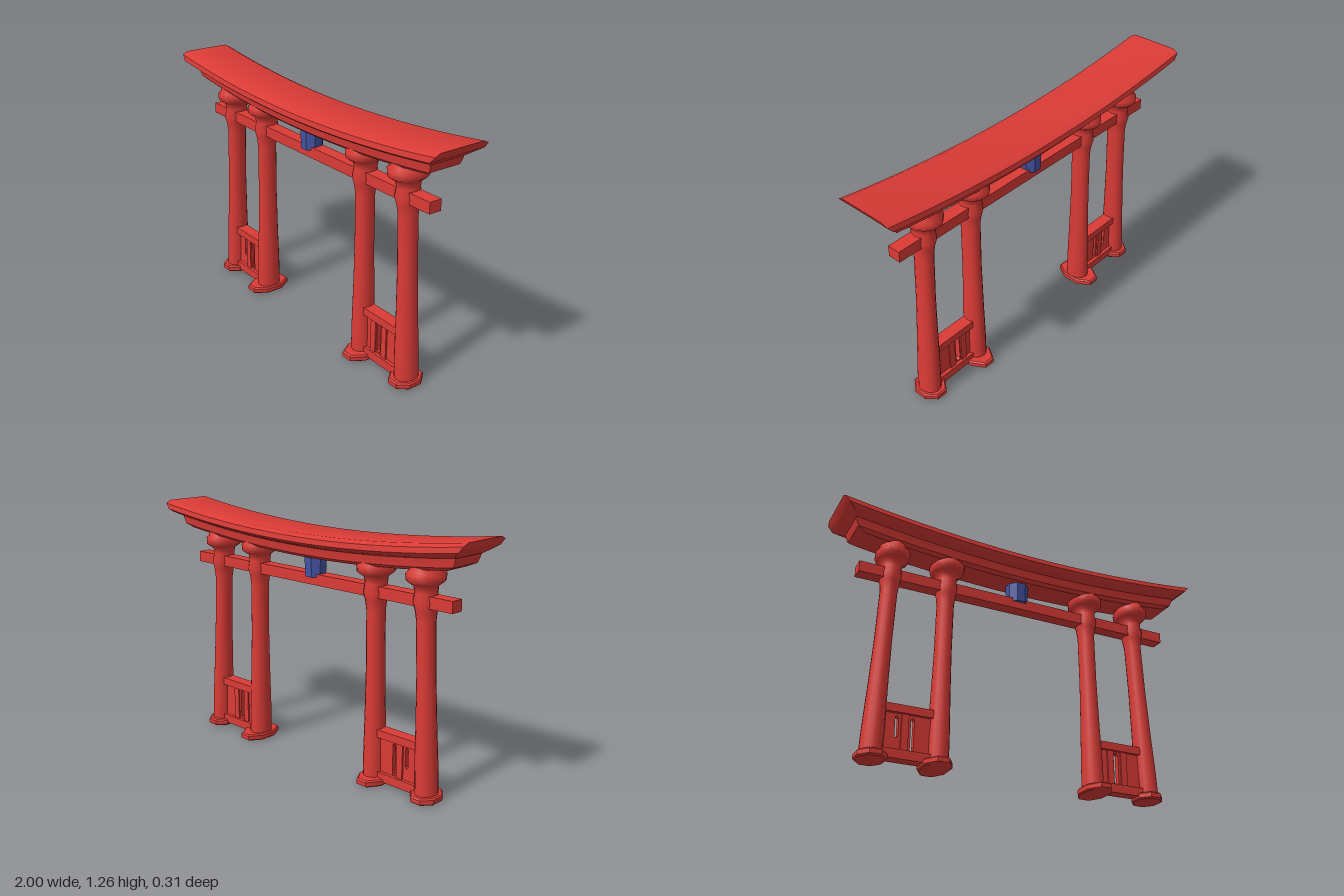
import * as THREE from 'three';
import { toCreasedNormals } from 'three/addons/utils/BufferGeometryUtils.js';

const red = new THREE.MeshStandardMaterial({ color: 0xdb3b36 });
red.name = 'vermilion red';
const blue = new THREE.MeshStandardMaterial({ color: 0x4454a4 });
blue.name = 'plaque blue';

function add(parent, name, geometry, material = red) {
  const mesh = new THREE.Mesh(geometry, material);
  mesh.name = name;
  parent.add(mesh);
  return mesh;
}

// Upward sweep shared by the roof slab and the beam under it
const roofTop = (x) => 1.19 + 0.07 * x * x;

// Half profile rows: [half depth, offset below the roof line, half length]
function sweptBeam(rows, steps = 24) {
  const loop = [...rows, ...[...rows].reverse().map(([z, y, l]) => [-z, y, l])];
  const n = loop.length;
  const pos = [];
  const index = [];
  for (let i = 0; i <= steps; i++) {
    const t = (i / steps) * 2 - 1;
    for (const [z, y, l] of loop) pos.push(t * l, roofTop(t * l) + y, z);
  }
  for (let i = 0; i < steps; i++) {
    for (let j = 0; j < n; j++) {
      const k = (j + 1) % n;
      const a = i * n + j, b = i * n + k, c = b + n, d = a + n;
      index.push(a, b, c, a, c, d);
    }
  }
  // End caps
  const mid = rows[Math.floor(rows.length / 2)];
  for (const s of [-1, 1]) {
    const centre = pos.length / 3;
    const ring = s < 0 ? 0 : steps * n;
    pos.push(s * mid[2], roofTop(mid[2]) + mid[1], 0);
    for (let j = 0; j < n; j++) {
      const k = (j + 1) % n;
      if (s > 0) index.push(centre, ring + j, ring + k);
      else index.push(centre, ring + k, ring + j);
    }
  }
  const g = new THREE.BufferGeometry();
  g.setAttribute('position', new THREE.Float32BufferAttribute(pos, 3));
  g.setIndex(index);
  return toCreasedNormals(g, 0.5);
}

// Turned post with collar and capital, leaning from xBottom to xTop
function postGeometry(xBottom, xTop) {
  const profile = [
    [0.053, 0.01], [0.052, 0.15], [0.046, 0.38], [0.042, 0.6], [0.042, 0.86],
    [0.048, 0.91], [0.056, 0.945], [0.049, 0.99], [0.053, 1.02], [0.071, 1.034],
    [0.084, 1.045], [0.086, 1.075], [0.074, 1.09], [0.07, 1.12],
  ].map(([r, y]) => new THREE.Vector2(r, y));
  const g = new THREE.LatheGeometry(profile, 16);
  g.applyMatrix4(new THREE.Matrix4().set(
    1, xTop - xBottom, 0, xBottom,
    0, 1, 0, 0,
    0, 0, 1.2, 0,
    0, 0, 0, 1,
  ));
  return g;
}

// Low eight-sided foot with a softened rim
function footGeometry(halfX, halfZ) {
  const profile = [[0, 0], [0.9, 0], [1, 0.007], [1, 0.028], [0.92, 0.035], [0, 0.035]]
    .map(([r, y]) => new THREE.Vector2(r, y));
  const g = new THREE.LatheGeometry(profile, 8, Math.PI / 8);
  g.scale(halfX * 1.08, 1, halfZ * 1.08);
  return toCreasedNormals(g, 0.6);
}

// Low screen between two posts, pierced by upright slots [x0, x1, y0, y1]
function screen(x0, x1, slots, strips) {
  const group = new THREE.Group();
  const shape = new THREE.Shape();
  shape.moveTo(x0, 0.02).lineTo(x1, 0.02).lineTo(x1, 0.26).lineTo(x0, 0.26).closePath();
  for (const [a, b, c, d] of slots) {
    const hole = new THREE.Path();
    hole.moveTo(a, c + 0.01).lineTo(a, d - 0.01).lineTo((a + b) / 2, d).lineTo(b, d - 0.01)
      .lineTo(b, c + 0.01).lineTo((a + b) / 2, c).closePath();
    shape.holes.push(hole);
  }
  const panel = new THREE.ExtrudeGeometry(shape, { depth: 0.028, bevelEnabled: false });
  add(group, 'screenPanel', panel.translate(0, 0, -0.014));
  for (const [y, h] of [[0.26, 0.04], [0.04, 0.045]]) {
    add(group, 'screenRail', new THREE.BoxGeometry(x1 - x0, h, 0.064))
      .position.set((x0 + x1) / 2, y, 0);
  }
  for (const x of strips) {
    add(group, 'screenBar', new THREE.BoxGeometry(0.035, 0.19, 0.044)).position.set(x, 0.15, 0);
  }
  return group;
}

export function createModel() {
  const model = new THREE.Group();
  model.name = 'shrineGate';

  // Roof
  add(model, 'roofSlab', sweptBeam([
    [0.122, 0, 1], [0.15, -0.014, 0.997], [0.154, -0.04, 0.972],
    [0.138, -0.052, 0.95], [0.1, -0.068, 0.925],
  ]));
  add(model, 'underBeam', sweptBeam([
    [0.1, -0.05, 0.925], [0.092, -0.085, 0.915], [0.088, -0.11, 0.905], [0.07, -0.125, 0.86],
  ]));

  // Tie beam through the posts
  add(model, 'tieBeam', new THREE.BoxGeometry(1.735, 0.056, 0.068)).position.set(-0.003, 0.952, 0);

  // Plaque block hanging under the roof
  const plaque = new THREE.CylinderGeometry(0.06, 0.055, 0.11, 8).rotateY(Math.PI / 8);
  add(model, 'plaque', toCreasedNormals(plaque, 0.5), blue).position.set(-0.01, 1.018, 0);

  // Posts and feet: [bottom x, top x, foot x, foot half depth]
  for (const [xb, xt, xf, zf] of [
    [-0.742, -0.7, -0.74, 0.085], [-0.42, -0.407, -0.43, 0.113],
    [0.414, 0.401, 0.423, 0.113], [0.737, 0.692, 0.732, 0.085],
  ]) {
    add(model, 'post', postGeometry(xb, xt));
    add(model, 'foot', footGeometry(0.07, zf)).position.x = xf;
  }

  // Screens between each pair of posts
  const right = screen(-0.73, -0.42, [[-0.637, -0.62, 0.12, 0.23], [-0.56, -0.543, 0.06, 0.23]], [-0.59]);
  right.name = 'rightScreen';
  const left = screen(0.42, 0.73, [[0.535, 0.56, 0.065, 0.235]], [0.512, 0.59]);
  left.name = 'leftScreen';
  model.add(right, left);

  return model;
}
